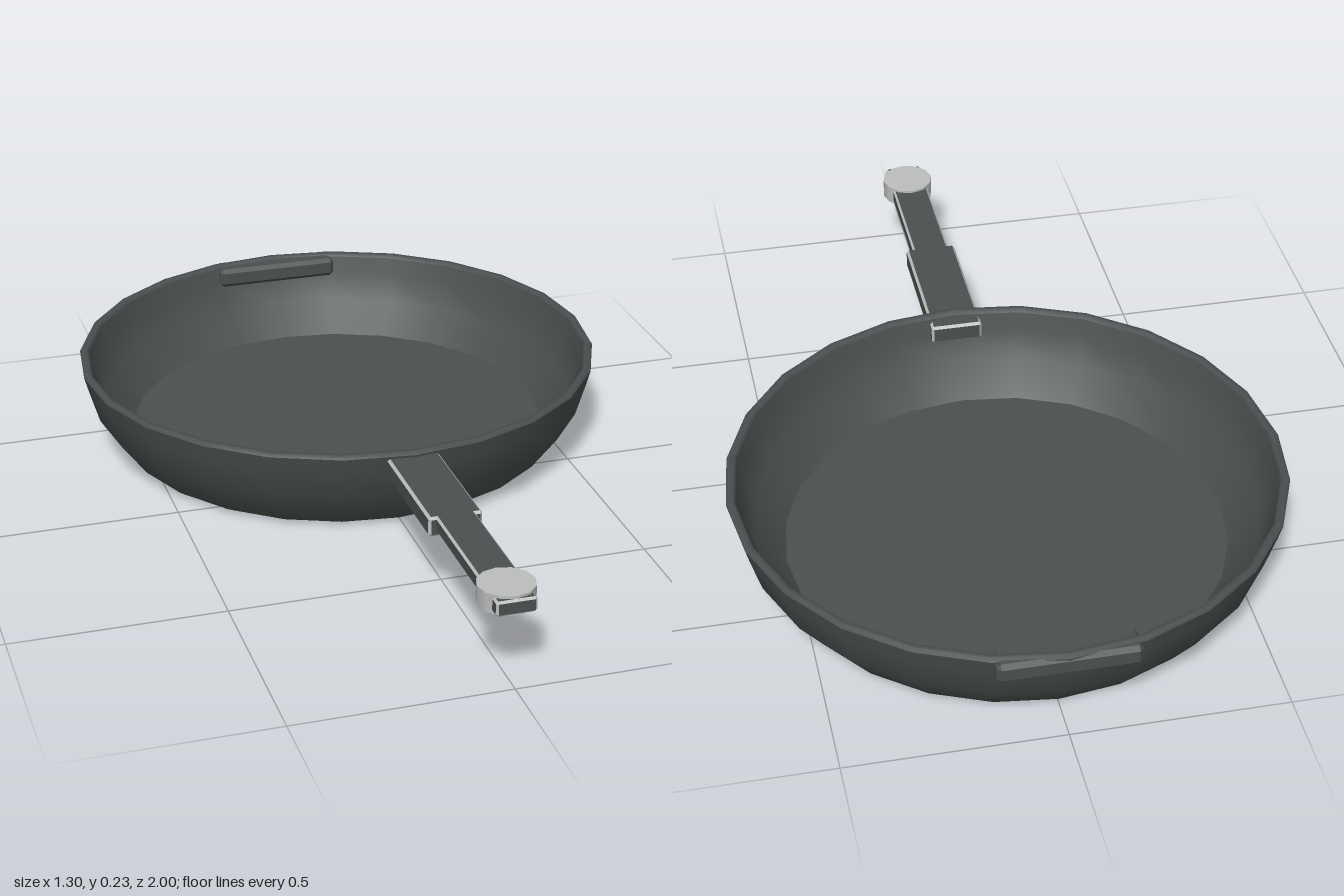
import * as THREE from 'three';
import { ConvexGeometry } from 'three/addons/geometries/ConvexGeometry.js';

const iron = new THREE.MeshStandardMaterial({ name: 'dark iron', color: 0x4b4f4f });
const steel = new THREE.MeshStandardMaterial({ name: 'pale steel', color: 0xbcbebd });

// Box with chamfered edges; flat sides use the first material, chamfers the second
function chamferedBox(name, [x0, x1], [y0, y1], [z0, z1], bevel, edgeMaterial) {
  const half = [(x1 - x0) / 2, (y1 - y0) / 2, (z1 - z0) / 2];
  const points = [];
  for (const sx of [-1, 1]) for (const sy of [-1, 1]) for (const sz of [-1, 1]) {
    for (let axis = 0; axis < 3; axis++) {
      const c = half.map((h, i) => (i === axis ? h : h - bevel));
      points.push(new THREE.Vector3(sx * c[0], sy * c[1], sz * c[2]));
    }
  }
  const geometry = new ConvexGeometry(points);
  const normal = geometry.attributes.normal;
  for (let i = 0; i < normal.count; i += 3) {
    const largest = Math.max(Math.abs(normal.getX(i)), Math.abs(normal.getY(i)), Math.abs(normal.getZ(i)));
    geometry.addGroup(i, 3, largest > 0.99 ? 0 : 1);
  }
  const mesh = new THREE.Mesh(geometry, [iron, edgeMaterial]);
  mesh.name = name;
  mesh.position.set((x0 + x1) / 2, (y0 + y1) / 2, (z0 + z1) / 2);
  return mesh;
}

// Turned 24-sided surface; separate meshes keep the creases sharp
function turned(name, profile) {
  const points = profile.map(([r, y]) => new THREE.Vector2(r, y));
  const mesh = new THREE.Mesh(new THREE.LatheGeometry(points, 24), iron);
  mesh.name = name;
  return mesh;
}

export function createModel() {
  const model = new THREE.Group();
  model.name = 'fryingPan';

  // Bowl of the pan
  const bowl = new THREE.Group();
  bowl.name = 'bowl';
  bowl.position.z = -0.35;
  bowl.add(
    turned('underside', [[0, 0], [0.53, 0]]),
    turned('outerWall', [[0.53, 0], [0.55, 0.012], [0.615, 0.1], [0.64, 0.185], [0.65, 0.222]]),
    turned('rim', [[0.65, 0.222], [0.645, 0.23], [0.633, 0.23], [0.628, 0.222]]),
    turned('innerWall', [[0.628, 0.222], [0.615, 0.18], [0.59, 0.11], [0.52, 0.035]]),
    turned('cookingSurface', [[0.52, 0.035], [0, 0.035]])
  );
  model.add(bowl);

  // Long handle, passing through the wall, and the rear grip
  model.add(
    chamferedBox('handleBase', [-0.063, 0.063], [0.168, 0.216], [0.24, 0.6], 0.006, steel),
    chamferedBox('handleShaft', [-0.046, 0.046], [0.18, 0.216], [0.56, 1], 0.005, steel),
    chamferedBox('rearGrip', [-0.16, 0.16], [0.175, 0.225], [-1, -0.93], 0.01, iron)
  );

  // Round end cap of the handle
  const cap = new THREE.Mesh(new THREE.CylinderGeometry(0.065, 0.065, 0.046, 12), steel);
  cap.name = 'handleEndCap';
  cap.position.set(0, 0.199, 0.93);
  model.add(cap);

  return model;
}
